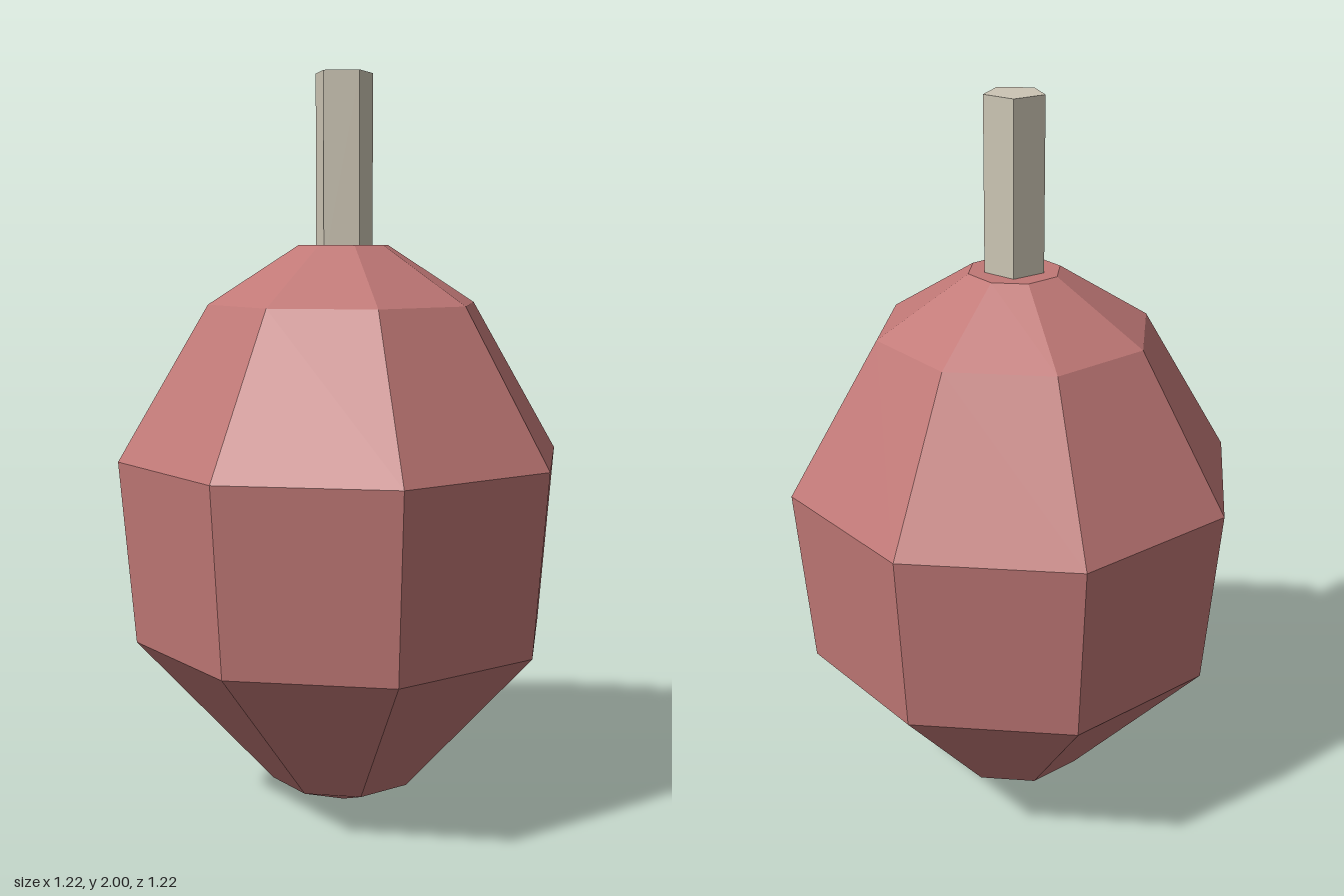
import * as THREE from 'three';

export function createModel() {
  const model = new THREE.Group();
  model.name = 'fruit';

  const skin = new THREE.MeshStandardMaterial({ color: 0xc07876, flatShading: true });
  skin.name = 'dusty red skin';
  const wood = new THREE.MeshStandardMaterial({ color: 0xccc5b4, flatShading: true });
  wood.name = 'pale stem';

  // Eight-sided body, from the pointed base to the flat crown
  const profile = [
    [0, 0.005], [0.2, 0.085], [0.57, 0.495], [0.61, 0.985],
    [0.367, 1.395], [0.123, 1.55], [0, 1.55],
  ].map(([r, y]) => new THREE.Vector2(r, y));
  const body = new THREE.Mesh(new THREE.LatheGeometry(profile, 8), skin);
  body.name = 'body';
  model.add(body);

  // Five-sided stem with one edge towards +x, sunk a little into the crown
  const bottom = 1.5, top = 2;
  const stem = new THREE.Mesh(
    new THREE.CylinderGeometry(0.08, 0.08, top - bottom, 5, 1, false, Math.PI / 2), wood);
  stem.position.y = (top + bottom) / 2;
  stem.name = 'stem';
  model.add(stem);

  return model;
}
